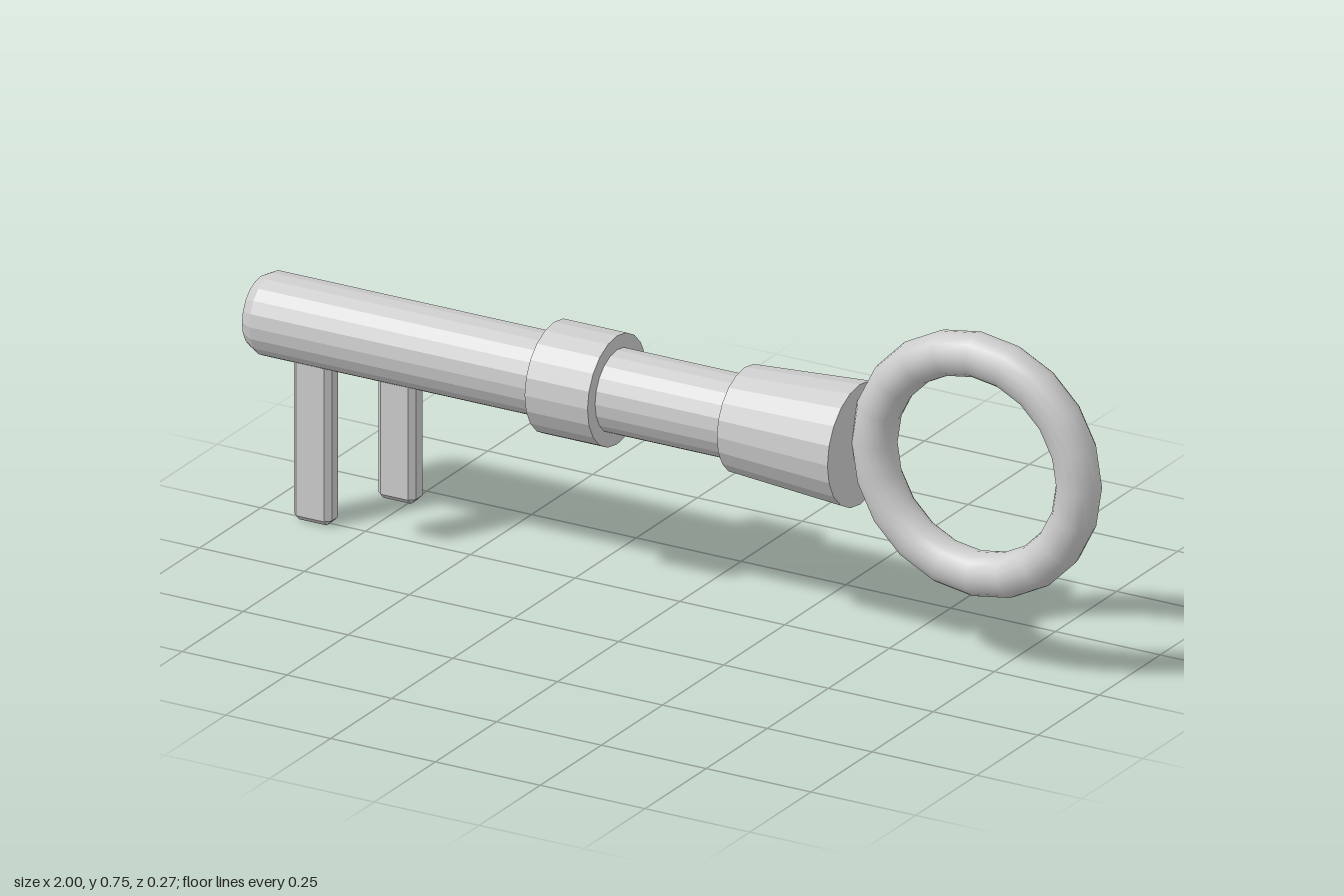
import * as THREE from 'three';
import { ConvexGeometry } from 'three/addons/geometries/ConvexGeometry.js';

const AXIS_Y = 0.44;
const flat = new THREE.MeshStandardMaterial({ color: 0xcccccc, flatShading: true });
const smooth = new THREE.MeshStandardMaterial({ color: 0xcccccc });

// Solid turned around the shaft axis; profile is a list of [radius, x]
function turned(name, profile) {
  const points = profile.map(([r, x]) => new THREE.Vector2(r, x));
  const geometry = new THREE.LatheGeometry(points, 20);
  geometry.rotateZ(-Math.PI / 2);
  const mesh = new THREE.Mesh(geometry, flat);
  mesh.name = name;
  mesh.position.y = AXIS_Y;
  return mesh;
}

// Box with single 45 degree chamfers on every edge
function chamferedBox(w, h, d, c) {
  const points = [];
  for (const sx of [-1, 1]) for (const sy of [-1, 1]) for (const sz of [-1, 1]) {
    for (let axis = 0; axis < 3; axis++) {
      const inset = [0, 1, 2].map((i) => (i === axis ? 0 : c));
      points.push(new THREE.Vector3(
        sx * (w / 2 - inset[0]), sy * (h / 2 - inset[1]), sz * (d / 2 - inset[2])));
    }
  }
  return new ConvexGeometry(points);
}

export function createModel() {
  const key = new THREE.Group();
  key.name = 'key';

  // Shaft with a bevelled tip, a collar, and the flared socket
  key.add(turned('shaft', [[0, -1], [0.077, -1], [0.09, -0.975], [0.09, 0.3], [0, 0.3]]));
  key.add(turned('collar', [[0, -0.3], [0.121, -0.3], [0.121, -0.15], [0, -0.15]]));
  key.add(turned('socket', [[0, 0.155], [0.115, 0.155], [0.134, 0.43], [0, 0.43]]));

  // Ring handle
  const ring = new THREE.Mesh(new THREE.TorusGeometry(0.244, 0.048, 16, 20), smooth);
  ring.name = 'ringHandle';
  ring.position.set(0.708, 0.455, 0);
  key.add(ring);

  // Two teeth running up into the shaft
  const top = 0.4;
  for (const [name, x, bottom] of [['longTooth', -0.868, 0], ['shortTooth', -0.667, 0.09]]) {
    const tooth = new THREE.Mesh(chamferedBox(0.09, top - bottom, 0.05, 0.012), flat);
    tooth.name = name;
    tooth.position.set(x, (top + bottom) / 2, 0);
    key.add(tooth);
  }
  return key;
}
